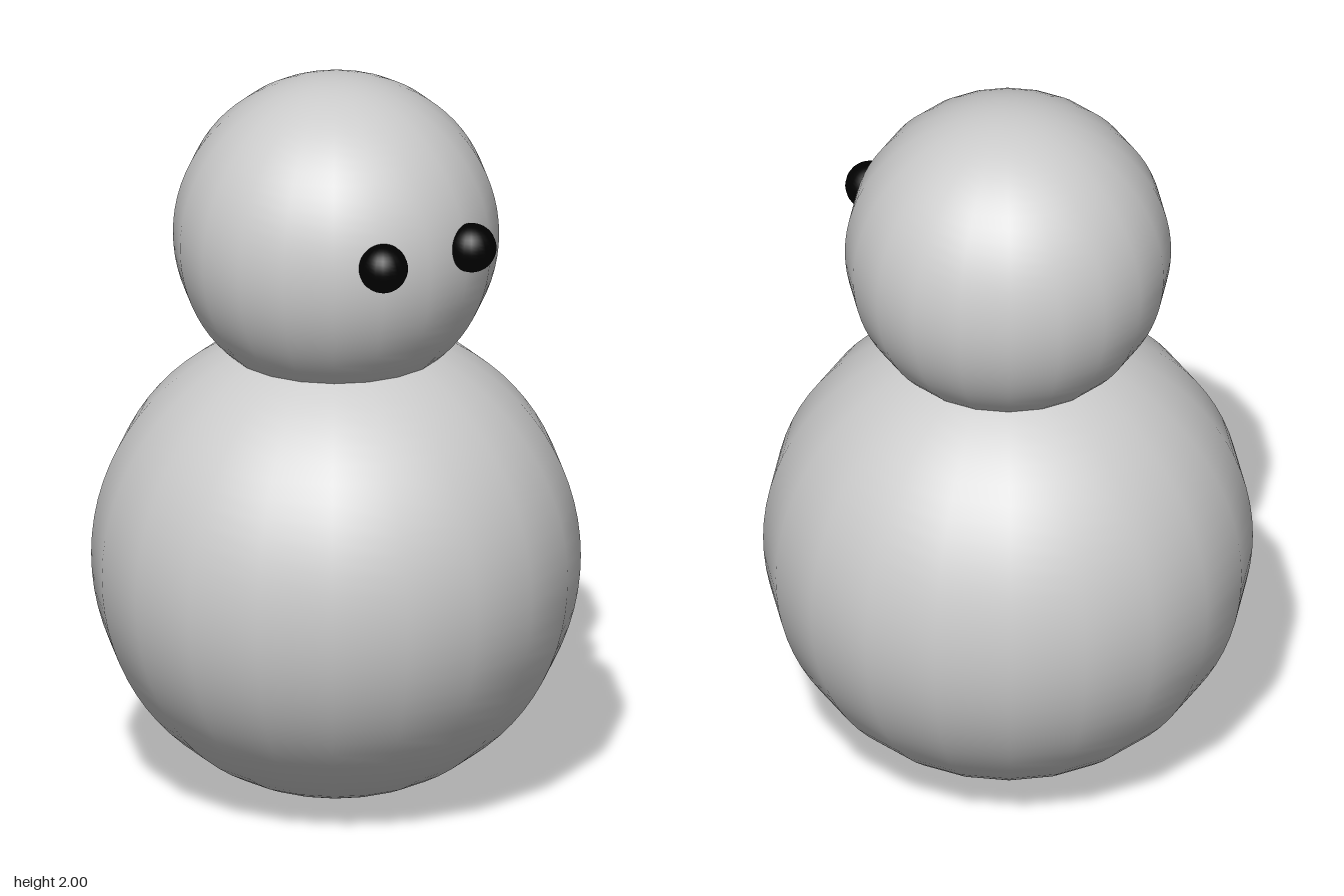
import * as THREE from 'three';

export function createModel() {
  const model = new THREE.Group();
  const snow = new THREE.MeshStandardMaterial({ color: 0xcccccc });
  const coal = new THREE.MeshStandardMaterial({ color: 0x000000 });

  function ball(name, radius, sides, rings, material, x, y, z) {
    const mesh = new THREE.Mesh(new THREE.SphereGeometry(radius, sides, rings), material);
    mesh.name = name;
    mesh.position.set(x, y, z);
    model.add(mesh);
  }

  // Stacked snowballs: twenty sides around, finer rings up the profile
  ball('body', 0.653, 20, 40, snow, 0, 0.655, 0);
  ball('head', 0.435, 20, 40, snow, 0, 1.565, 0);

  // Eyes, half sunk into the front of the head and set slightly off centre
  ball('rightEye', 0.066, 20, 20, coal, -0.137, 1.613, 0.415);
  ball('leftEye', 0.066, 20, 20, coal, 0.151, 1.613, 0.415);

  return model;
}
